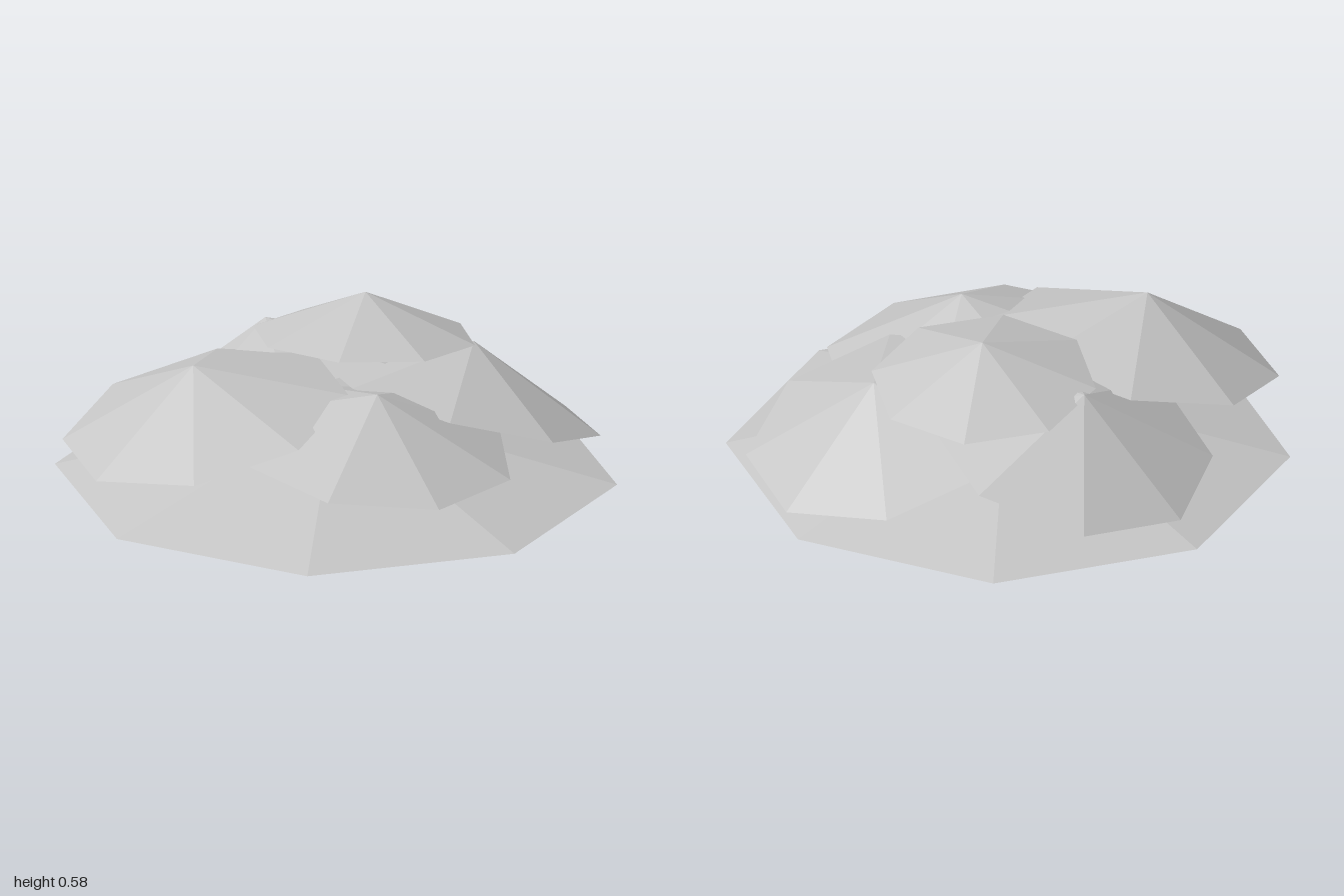
import * as THREE from 'three';

export function createModel() {
  const group = new THREE.Group();
  const grey = new THREE.MeshStandardMaterial({
    color: 0xc6c6c6, flatShading: true, side: THREE.DoubleSide,
  });
  grey.name = 'light grey';
  const up = new THREE.Vector3(0, 1, 0);

  // Open eight-sided cone: rim centre, radius, height, rim slope along x and z, spin in degrees
  function addCone(name, [x, y, z], radius, height, slopeX, slopeZ, spin) {
    const geometry = new THREE.ConeGeometry(radius, height, 8, 1, true);
    geometry.translate(0, height / 2, 0);
    geometry.rotateY(THREE.MathUtils.degToRad(spin));
    const mesh = new THREE.Mesh(geometry, grey);
    mesh.name = name;
    mesh.position.set(x, y, z);
    mesh.quaternion.setFromUnitVectors(up, new THREE.Vector3(-slopeX, 1, -slopeZ).normalize());
    group.add(mesh);
  }

  // Wide ground layer
  addCone('baseCone', [0, 0, 0], 1, 0.268, 0, 0, 0);
  // Four tilted cones leaning outward around it
  addCone('frontCone', [-0.135, 0.295, 0.485], 0.52, 0.21, 0.058, -0.23, 0.5);
  addCone('leftCone', [0.34, 0.235, 0.118], 0.52, 0.207, -0.13, 0.04, -11);
  addCone('rightCone', [-0.412, 0.237, -0.075], 0.522, 0.21, 0.33, -0.04, 10);
  addCone('backCone', [0.115, 0.212, -0.467], 0.52, 0.21, -0.03, 0.32, 1);
  // Small cap on top
  addCone('topCone', [-0.14, 0.425, -0.242], 0.403, 0.16, 0.07, 0.1, -7);

  return group;
}
